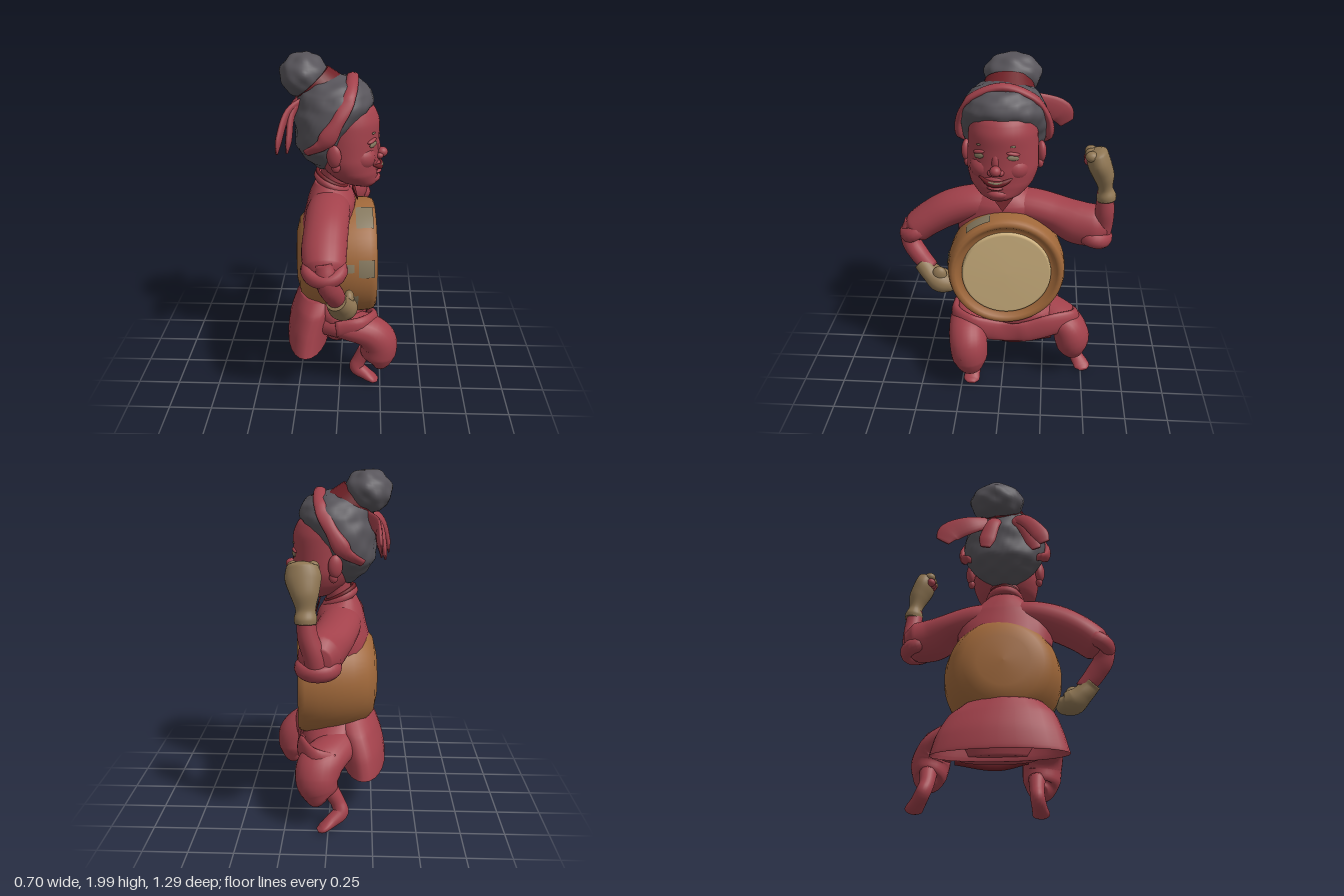
import * as THREE from 'three';

const mat = (name, color) => Object.assign(new THREE.MeshStandardMaterial({ color }), { name });

export function createModel() {
  const root = new THREE.Group();
  root.name = 'drummer';
  const red = mat('red cloth and skin', 0xa2414b);
  const darkRed = mat('dark red', 0x6e2026);
  const hairGrey = mat('hair grey', 0x57545a);
  const brown = mat('drum wood', 0xa0683a);
  const cream = mat('drum skin', 0xcbaf7d);
  const tan = mat('glove tan', 0x8f7653);
  const worn = mat('worn grey', 0x877a60);

  const add = (name, geo, material, parent = root) => {
    const m = new THREE.Mesh(geo, material);
    m.name = name;
    parent.add(m);
    return m;
  };

  // Skin over elliptical rings; rows are [x, y, z, ra, rb]. Without ref the rings stay level.
  function skin(rows, ref = null, sides = 24, steps = 6) {
    const centre = new THREE.CatmullRomCurve3(rows.map(r => new THREE.Vector3(r[0], r[1], r[2])));
    const radii = new THREE.CatmullRomCurve3(rows.map(r => new THREE.Vector3(r[3], r[4] ?? r[3], 0)));
    const n = (rows.length - 1) * steps, pos = [], idx = [];
    for (let i = 0; i <= n; i++) {
      const c = centre.getPoint(i / n), r = radii.getPoint(i / n);
      let u = new THREE.Vector3(1, 0, 0), v = new THREE.Vector3(0, 0, 1);
      if (ref) {
        const t = centre.getTangent(i / n);
        u = ref.clone().addScaledVector(t, -ref.dot(t)).normalize();
        v = u.clone().cross(t);
      }
      for (let j = 0; j < sides; j++) {
        const a = j / sides * Math.PI * 2;
        const p = c.clone().addScaledVector(u, r.x * Math.cos(a)).addScaledVector(v, r.y * Math.sin(a));
        pos.push(p.x, p.y, p.z);
      }
    }
    for (let i = 0; i < n; i++) for (let j = 0; j < sides; j++) {
      const k = (j + 1) % sides, a = i * sides + j, b = i * sides + k;
      idx.push(a, a + sides, b, b, a + sides, b + sides);
    }
    // End caps
    const s = n * sides, c0 = pos.length / 3;
    pos.push(...centre.getPoint(0).toArray(), ...centre.getPoint(1).toArray());
    for (let j = 0; j < sides; j++) {
      const k = (j + 1) % sides;
      idx.push(c0, j, k, c0 + 1, s + k, s + j);
    }
    const g = new THREE.BufferGeometry();
    g.setAttribute('position', new THREE.Float32BufferAttribute(pos, 3));
    g.setIndex(idx);
    g.computeVertexNormals();
    return g;
  }
  const X = new THREE.Vector3(1, 0, 0), Y = new THREE.Vector3(0, 1, 0), Z = new THREE.Vector3(0, 0, 1);

  // Soft lumps for hair
  function lumpy(g, amount, f) {
    const p = g.attributes.position, nrm = g.attributes.normal;
    for (let i = 0; i < p.count; i++) {
      const [x, y, z] = [p.getX(i), p.getY(i), p.getZ(i)];
      const d = amount * Math.sin(f * x + 1) * Math.sin(f * y) * Math.cos(f * z);
      p.setXYZ(i, x + nrm.getX(i) * d, y + nrm.getY(i) * d, z + nrm.getZ(i) * d);
    }
    g.computeVertexNormals();
    return g;
  }
  function ball(name, x, y, z, rx, ry, rz, material, yaw = 0, roll = 0) {
    const m = add(name, new THREE.SphereGeometry(1, 20, 14), material);
    m.position.set(x, y, z);
    m.scale.set(rx, ry, rz);
    m.rotation.set(roll, yaw, 0, 'YXZ');
  }

  // Drum, axis along x
  const drum = new THREE.Group();
  drum.name = 'drum';
  drum.position.set(0, 0.79, -0.015);
  drum.rotation.y = 0.07;
  root.add(drum);
  const V = (r, h) => new THREE.Vector2(r, h);
  const lathe = (name, pts, material, start = 0, len = Math.PI * 2) => {
    const m = add(name, new THREE.LatheGeometry(pts, 56, start, len), material, drum);
    m.rotation.z = -Math.PI / 2;
  };
  lathe('barrel', [V(0, -0.272), V(0.15, -0.265), V(0.23, -0.245), V(0.28, -0.2), V(0.318, -0.12), V(0.342, -0.02),
    V(0.35, 0.08), V(0.345, 0.16), V(0.335, 0.19), V(0.318, 0.2), V(0.3, 0.192), V(0.285, 0.172), V(0.262, 0.17)], brown);
  lathe('drumSkin', [V(0.264, 0.165), V(0.262, 0.188), V(0.25, 0.194), V(0, 0.196)], cream);
  for (const [h, half, a, len] of [[0.135, 0.045, -0.32, 0.3], [0.04, 0.025, -0.25, 0.14], [0.13, 0.05, -1.3, 0.45], [0.05, 0.04, 0.35, 0.25]])
    lathe('wornPatch', [V(0.35, h - half), V(0.354, h), V(0.35, h + half)], worn, a, len);

  // Shirt, neck and collar
  add('shirt', skin([[-0.06, 0.94, 0, 0.19, 0.28], [-0.065, 1.06, 0, 0.155, 0.28], [-0.055, 1.16, 0, 0.14, 0.24],
    [-0.06, 1.22, 0, 0.115, 0.16], [-0.075, 1.27, 0, 0.075, 0.1]]), red);
  add('neck', skin([[-0.05, 1.2, 0, 0.07, 0.085], [-0.03, 1.4, 0, 0.08, 0.1]]), red);
  for (const [y, r, tube, m] of [[1.262, 0.088, 0.028, red], [1.288, 0.094, 0.012, darkRed]]) {
    const collar = add('collar', new THREE.TorusGeometry(r, tube, 12, 36), m);
    collar.position.set(-0.052, y, 0);
    collar.rotation.set(Math.PI / 2, -0.5, 0);
  }
  const vee = new THREE.Shape([V(-0.075, 0), V(0, -0.1), V(0.075, 0)]);
  const neckline = add('neckline', new THREE.ExtrudeGeometry(vee, { depth: 0.008, bevelEnabled: false }), darkRed);
  neckline.position.set(0.065, 1.245, 0);
  neckline.rotation.set(-0.3, Math.PI / 2, 0, 'YXZ');

  // Lowered arm (+z) and raised arm (-z)
  function arm(name, sleeve, cuff, forearm, glove) {
    add(name + 'Sleeve', skin(sleeve, X), red);
    const ring = add(name + 'Cuff', new THREE.TorusGeometry(0.075, 0.036, 12, 28), red);
    ring.position.set(cuff[0], cuff[1], cuff[2]);
    ring.rotation.set(Math.PI / 2 + cuff[3], 0, 0);
    ring.scale.set(1.15, 1, 1.3);
    add(name + 'Forearm', skin(forearm, X), red);
    add(name + 'Glove', skin(glove, X), tan);
  }
  arm('lowered',
    [[-0.06, 1.14, 0.02, 0.11, 0.1], [-0.065, 1.14, 0.17, 0.125, 0.1], [-0.07, 1.095, 0.32, 0.125, 0.105],
      [-0.075, 1.02, 0.45, 0.125, 0.1], [-0.07, 0.96, 0.53, 0.115, 0.095], [-0.07, 0.93, 0.57, 0.07, 0.06]],
    [-0.07, 0.95, 0.54, 0.5],
    [[-0.07, 1.0, 0.55, 0.06], [-0.05, 0.88, 0.575, 0.06], [-0.02, 0.79, 0.52, 0.058], [0, 0.71, 0.45, 0.05]],
    [[-0.01, 0.745, 0.505, 0.06, 0.055], [0, 0.725, 0.485, 0.062, 0.058], [0.012, 0.68, 0.445, 0.075, 0.06],
      [0.025, 0.64, 0.39, 0.085, 0.075], [0.025, 0.63, 0.33, 0.07, 0.06], [0.02, 0.64, 0.3, 0.03, 0.03]]);
  ball('thumb', 0.06, 0.7, 0.39, 0.03, 0.05, 0.045, tan);
  arm('raised',
    [[-0.06, 1.14, -0.02, 0.11, 0.1], [-0.05, 1.13, -0.17, 0.125, 0.1], [-0.02, 1.1, -0.31, 0.125, 0.105],
      [0.025, 1.06, -0.44, 0.12, 0.13], [0.045, 1.055, -0.54, 0.115, 0.125], [0.05, 1.05, -0.61, 0.07, 0.07]],
    [0.05, 1.0, -0.535, -0.25],
    [[0.05, 0.97, -0.56, 0.065], [0.07, 1.08, -0.58, 0.06], [0.1, 1.18, -0.585, 0.055], [0.11, 1.3, -0.58, 0.045]],
    [[0.11, 1.25, -0.59, 0.056, 0.054], [0.11, 1.275, -0.587, 0.06, 0.056], [0.11, 1.32, -0.58, 0.052, 0.042],
      [0.115, 1.4, -0.565, 0.075, 0.06], [0.125, 1.48, -0.535, 0.095, 0.066], [0.13, 1.54, -0.52, 0.08, 0.058],
      [0.13, 1.56, -0.515, 0.03, 0.03]]);
  for (let i = 0; i < 3; i++) {
    ball('knuckle', 0.075 + i * 0.052, 1.53, -0.49, 0.032, 0.03, 0.035, tan);
    ball('fingers', 0.06 + i * 0.03, 1.485, -0.478, 0.026, 0.026, 0.026, red);
  }

  // Skirt hollow at the hem, hips, apron, trousers and feet
  add('backSkirt', skin([[-0.17, 0.42, -0.02, 0.1, 0.28], [-0.19, 0.29, -0.02, 0.115, 0.36], [-0.2, 0.265, -0.02, 0.13, 0.38],
    [-0.185, 0.38, -0.02, 0.137, 0.35], [-0.15, 0.5, -0.01, 0.135, 0.3], [-0.12, 0.58, 0, 0.13, 0.22]]), red);
  add('hips', skin([[-0.02, 0.29, -0.04, 0.1, 0.22], [0, 0.36, -0.04, 0.14, 0.28], [0, 0.44, -0.04, 0.17, 0.32],
    [-0.02, 0.5, -0.02, 0.19, 0.29], [-0.05, 0.58, 0, 0.17, 0.22]]), red);
  add('apron', skin([[-0.02, 0.44, 0.3, 0.05, 0.02], [0.12, 0.455, 0.28, 0.055, 0.03], [0.2, 0.43, 0.18, 0.07, 0.03],
    [0.185, 0.385, 0.03, 0.07, 0.025], [0.175, 0.375, -0.13, 0.07, 0.025], [0.15, 0.42, -0.31, 0.075, 0.03],
    [0.08, 0.42, -0.44, 0.07, 0.03], [-0.03, 0.4, -0.43, 0.05, 0.02]], Y, 18), red);
  add('underskirt', skin([[0.13, 0.335, 0.12, 0.03, 0.02], [0.135, 0.31, -0.06, 0.04, 0.02], [0.12, 0.335, -0.3, 0.03, 0.02]], Y, 14), darkRed);
  add('leftTrouser', skin([[-0.12, 0.42, 0.14, 0.1, 0.085], [0.06, 0.415, 0.2, 0.12, 0.085], [0.18, 0.38, 0.21, 0.115, 0.1],
    [0.235, 0.31, 0.2, 0.115, 0.112], [0.235, 0.23, 0.195, 0.11, 0.11], [0.225, 0.18, 0.19, 0.085, 0.085],
    [0.2, 0.165, 0.185, 0.04, 0.04]], Z), red);
  add('rightTrouser', skin([[-0.12, 0.44, -0.13, 0.09, 0.1], [-0.03, 0.42, -0.28, 0.12, 0.095], [0.05, 0.37, -0.4, 0.13, 0.1],
    [0.065, 0.3, -0.43, 0.125, 0.11], [0.05, 0.23, -0.435, 0.11, 0.1], [0.035, 0.19, -0.44, 0.085, 0.08],
    [0.02, 0.175, -0.44, 0.04, 0.04]], X), red);
  ball('kneePatch', 0.341, 0.27, 0.2, 0.006, 0.022, 0.04, darkRed);
  const foot = (name, x, z, turn) => add(name, skin([[x + 0.03, 0.23, z, 0.05], [x - 0.015, 0.15, z, 0.042],
    [x - 0.03, 0.1, z + turn * 0.2, 0.042, 0.046], [x + 0.02, 0.06, z + turn * 0.6, 0.044, 0.038],
    [x + 0.072, 0.03, z + turn, 0.05, 0.024], [x + 0.1, 0.02, z + turn * 1.1, 0.025, 0.01]], Z), red);
  foot('leftFoot', 0.135, 0.17, 0.02);
  foot('rightFoot', -0.04, -0.43, -0.08);

  // Head: face and hair
  add('face', skin([[0.14, 1.257, 0.015, 0.05, 0.06], [0.105, 1.285, 0.01, 0.11, 0.12], [0.065, 1.35, 0.005, 0.155, 0.18],
    [0.042, 1.44, 0, 0.18, 0.203], [0.035, 1.55, 0, 0.184, 0.2], [0.03, 1.63, 0, 0.19, 0.195],
    [0.02, 1.7, 0, 0.175, 0.18], [0, 1.78, 0, 0.12, 0.14]], null, 36), red);
  add('hair', lumpy(skin([[-0.09, 1.36, 0, 0.04, 0.07], [-0.1, 1.42, 0, 0.1, 0.16], [-0.11, 1.5, 0, 0.145, 0.225],
    [-0.085, 1.6, 0, 0.17, 0.25], [-0.055, 1.68, 0, 0.208, 0.25], [-0.03, 1.74, 0, 0.215, 0.24],
    [-0.03, 1.8, 0, 0.2, 0.21], [-0.03, 1.85, 0, 0.15, 0.16], [-0.04, 1.885, 0, 0.04, 0.04]], null, 48), 0.006, 45), hairGrey);
  const bun = add('bun', lumpy(new THREE.SphereGeometry(0.14, 40, 28), 0.01, 42), hairGrey);
  bun.position.set(-0.208, 1.878, -0.04);
  bun.scale.set(0.95, 0.87, 1.18);
  const bunBand = add('bunBand', new THREE.CylinderGeometry(0.12, 0.145, 0.1, 32), darkRed);
  bunBand.position.set(-0.125, 1.81, -0.02);
  bunBand.rotation.z = 0.75;
  bunBand.scale.z = 1.15;

  // Headband and ribbons
  const side = s => [[0.05, 1.8, s * 0.19, 0.036, 0.02], [-0.01, 1.68, s * 0.25, 0.036, 0.02],
    [-0.09, 1.56, s * 0.255, 0.036, 0.02], [-0.18, 1.5, s * 0.21, 0.025, 0.015]];
  add('headband', skin([...side(1).reverse(), [0.065, 1.875, 0, 0.034, 0.024], ...side(-1)], X, 16), red);
  for (const [x, y, z, w] of [[-0.33, 1.5, 0.25, 0.05], [-0.28, 1.49, 0.2, 0.045], [-0.3, 1.5, -0.1, 0.05], [-0.27, 1.57, -0.36, 0.075]])
    add('ribbon', skin([[-0.18, 1.76, z * 0.15, 0.015, 0.03], [(x - 0.24) / 2, 1.7, z * 0.5, 0.018, w * 0.8],
      [x, y + 0.07, z * 0.88, 0.018, w], [x - 0.01, y, z, 0.006, w * 0.6]], X, 16), red);

  // Ears and facial features
  for (const s of [1, -1]) {
    ball('ear', -0.03, 1.48, s * 0.215, 0.042, 0.065, 0.028, red, s * -0.3);
    ball('earlobe', -0.02, 1.415, s * 0.21, 0.025, 0.03, 0.02, red);
    const z = 0.03 + s * 0.095, yaw = -z * 4.8, x = s > 0 ? 0.184 : 0.212;
    ball('eye', x, 1.525, z, 0.007, 0.015, 0.034, worn, yaw, s * 0.15);
    ball('eyelid', x - 0.008, 1.546, z, 0.016, 0.012, 0.04, red, yaw, s * 0.2);
    ball('eyebrow', x + 0.002, 1.59, z, 0.004, 0.006, 0.016, worn, yaw);
    ball('cheek', s > 0 ? 0.112 : 0.128, 1.445, 0.015 + s * 0.085, 0.088, 0.08, 0.085, red);
    ball('nostril', 0.222, 1.44, 0.03 + s * 0.026, 0.022, 0.018, 0.02, red);
  }
  ball('nose', 0.236, 1.455, 0.03, 0.033, 0.03, 0.032, red);
  ball('noseBridge', 0.2, 1.49, 0.03, 0.025, 0.06, 0.026, red);
  ball('muzzle', 0.16, 1.385, 0.03, 0.07, 0.05, 0.085, red);
  add('mouth', skin([[0.185, 1.405, 0.122, 0.006], [0.222, 1.383, 0.075, 0.016, 0.012], [0.232, 1.375, 0.03, 0.02, 0.012],
    [0.228, 1.383, -0.015, 0.016, 0.012], [0.203, 1.405, -0.065, 0.006]], Y, 12), darkRed);
  add('teeth', skin([[0.23, 1.388, 0.07, 0.006, 0.006], [0.24, 1.383, 0.03, 0.007, 0.006], [0.234, 1.388, -0.01, 0.006, 0.006]], Y, 10), worn);
  ball('lowerLip', 0.185, 1.345, 0.03, 0.05, 0.016, 0.055, red);
  ball('chin', 0.16, 1.305, 0.02, 0.07, 0.04, 0.075, red);
  return root;
}
